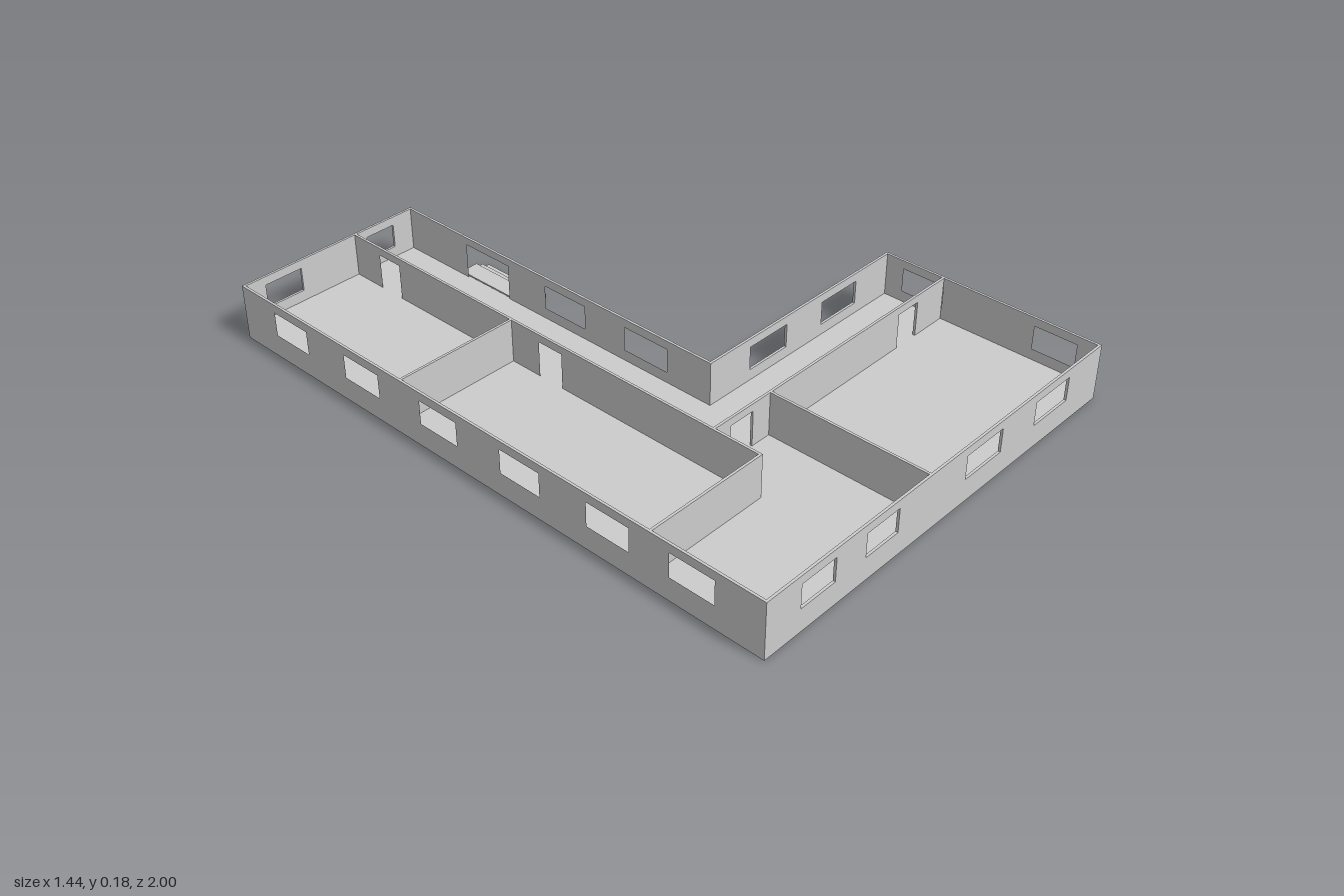
import * as THREE from 'three';

const H = 0.18, T = 0.008, FLOOR = 0.04;
const material = new THREE.MeshStandardMaterial({ color: 0xcccccc });

const windowAt = (a, b) => [a, b, 0.075, 0.152];
const doorAt = (a, b) => [a, b, FLOOR, 0.155];

// Wall running along x or z from a to b, its lower-side face at "at", with rectangular openings
function wall(name, axis, a, b, at, base, openings = []) {
  const shape = new THREE.Shape();
  const sign = axis === 'x' ? 1 : -1;
  const rect = (path, p, q, y0, y1) => {
    path.moveTo(sign * p, y0);
    path.lineTo(sign * q, y0);
    path.lineTo(sign * q, y1);
    path.lineTo(sign * p, y1);
    path.closePath();
    return path;
  };
  rect(shape, a, b, base, H);
  for (const [p, q, y0, y1] of openings) shape.holes.push(rect(new THREE.Path(), p, q, y0, y1));
  const geometry = new THREE.ExtrudeGeometry(shape, { depth: T, bevelEnabled: false });
  if (axis === 'z') geometry.rotateY(Math.PI / 2);
  geometry.translate(axis === 'z' ? at : 0, 0, axis === 'x' ? at : 0);
  const mesh = new THREE.Mesh(geometry, material);
  mesh.name = name;
  return mesh;
}

export function createModel() {
  const model = new THREE.Group();
  model.name = 'buildingFloor';

  // L-shaped floor, raised above the foot of the outer walls
  const outline = [[-0.717, -0.997], [-0.083, -0.997], [-0.083, 0.263], [0.717, 0.263], [0.717, 0.997], [-0.717, 0.997]];
  const floorShape = new THREE.Shape(outline.map(([x, z]) => new THREE.Vector2(x, -z)));
  const floorGeometry = new THREE.ExtrudeGeometry(floorShape, { depth: 0.004, bevelEnabled: false });
  floorGeometry.rotateX(-Math.PI / 2);
  floorGeometry.translate(0, FLOOR - 0.004, 0);
  const floor = new THREE.Mesh(floorGeometry, material);
  floor.name = 'floor';
  model.add(floor);

  // Outer walls
  const wingWindows = [windowAt(0.08, 0.24), windowAt(0.4, 0.56)];
  const sideWindows = [-0.775, -0.46, -0.14, 0.175, 0.49, 0.77].map((z) => windowAt(z - 0.073, z + 0.073));
  model.add(
    wall('frontWall', 'x', -0.72, 0.72, 1 - T, 0, [windowAt(-0.59, -0.46), windowAt(-0.34, -0.21), ...wingWindows]),
    wall('backWall', 'x', -0.72, -0.08, -1, 0, [windowAt(-0.645, -0.515), windowAt(-0.265, -0.16)]),
    wall('wingBackWall', 'x', -0.08 - T, 0.72, 0.26, 0, wingWindows),
    wall('rightWall', 'z', -1, 1, -0.72, 0, sideWindows),
    wall('wingEndWall', 'z', 0.26, 1, 0.72 - T, 0, [windowAt(0.33, 0.475), windowAt(0.79, 0.93)]),
    wall('entranceWall', 'z', -1, 0.26 + T, -0.08 - T, 0,
      [windowAt(-0.06, 0.105), windowAt(-0.385, -0.22), doorAt(-0.73, -0.545)]),
  );

  // Room partitions
  const base = FLOOR - 0.004;
  model.add(
    wall('corridorPartition', 'z', -1 + T, 0.63 + T / 2, -0.305 - T / 2, base, [doorAt(-0.875, -0.785), doorAt(-0.18, -0.09)]),
    wall('wingPartition', 'x', -0.305, 0.72 - T, 0.47 - T / 2, base, [doorAt(-0.24, -0.15), doorAt(0.495, 0.585)]),
    wall('frontRoomPartition', 'z', 0.47, 1 - T, -0.077 - T / 2, base),
    wall('backRoomPartition', 'x', -0.72 + T, -0.305, -0.295 - T / 2, base),
    wall('middleRoomPartition', 'x', -0.72 + T, -0.305, 0.63 - T / 2, base),
  );

  // Entrance steps
  const steps = new THREE.Group();
  steps.name = 'entranceSteps';
  const rise = 0.0125;
  [0.03, 0.005, -0.02].forEach((edge, i) => {
    const step = new THREE.Mesh(new THREE.BoxGeometry(edge + 0.08, rise, 0.26), material);
    step.name = 'step';
    step.position.set((edge - 0.08) / 2, 0.004 + rise * (i + 0.5), -0.64);
    steps.add(step);
  });
  model.add(steps);

  return model;
}
